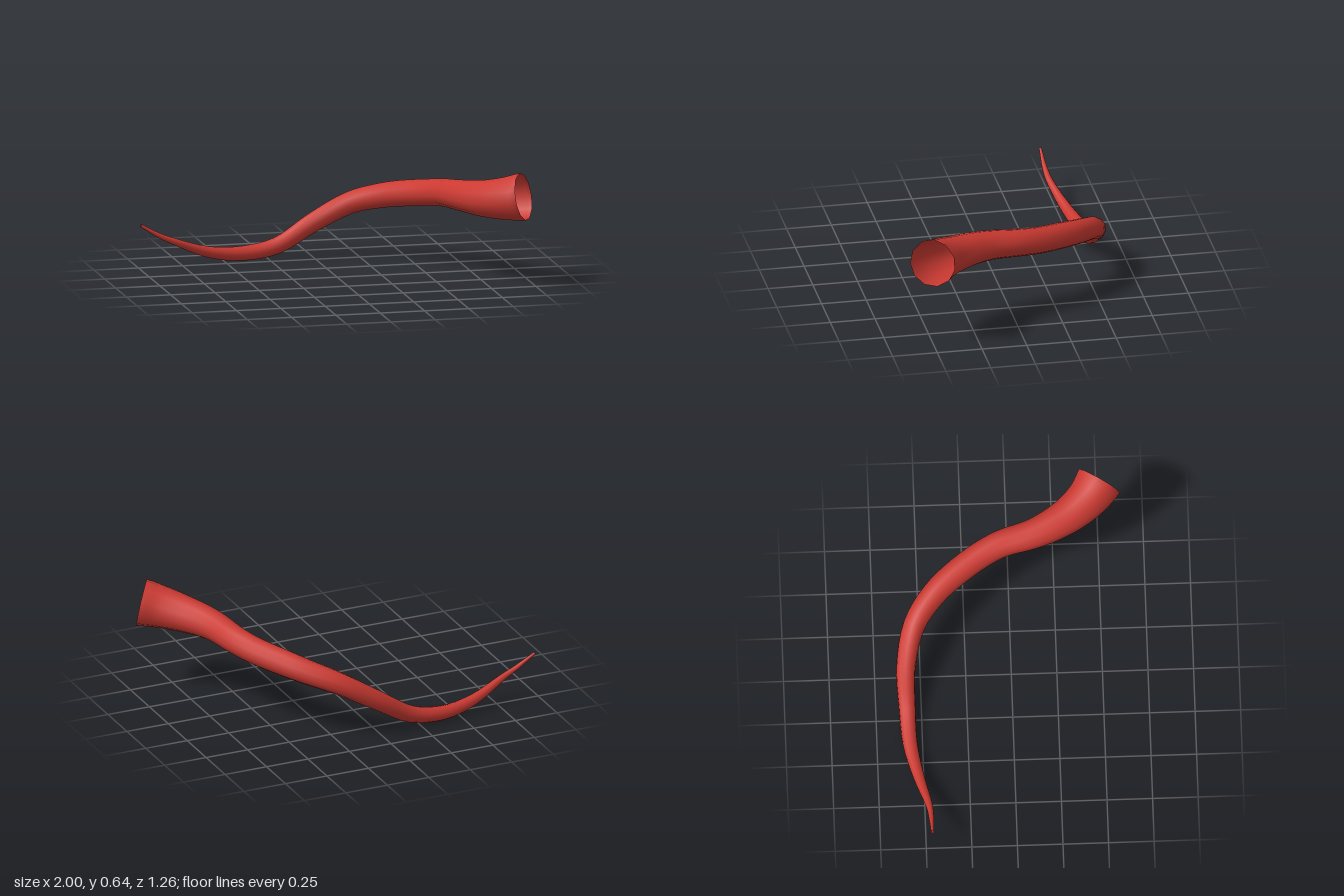
import * as THREE from 'three';

// Stations along the horn, tip to mouth: x, y, z, radius (last one only steers the rim)
const STATIONS = [
  [-0.995, 0.25, -0.466, 0.008],
  [-0.89, 0.188, -0.468, 0.014],
  [-0.8, 0.147, -0.477, 0.019],
  [-0.6, 0.07, -0.528, 0.031],
  [-0.4, 0.045, -0.568, 0.041],
  [-0.2, 0.077, -0.578, 0.047],
  [0, 0.195, -0.578, 0.054],
  [0.2, 0.308, -0.525, 0.062],
  [0.35, 0.363, -0.415, 0.069],
  [0.45, 0.394, -0.3, 0.073],
  [0.55, 0.423, -0.15, 0.075],
  [0.605, 0.445, -0.03, 0.077],
  [0.645, 0.463, 0.13, 0.083],
  [0.69, 0.472, 0.24, 0.092],
  [0.755, 0.48, 0.35, 0.103],
  [0.837, 0.495, 0.445, 0.117],
  [0.927, 0.514, 0.512, 0.132],
  [1.035, 0.54, 0.568, 0.132],
];
const SIDES = 11;
const STEPS = 4; // rings per station

export function createModel() {
  const group = new THREE.Group();
  group.name = 'curvedHorn';
  const red = new THREE.MeshStandardMaterial({ color: 0xcc3a32, side: THREE.DoubleSide });
  red.name = 'red';

  const path = new THREE.CatmullRomCurve3(STATIONS.map(([x, y, z]) => new THREE.Vector3(x, y, z)));
  const radii = new THREE.SplineCurve(STATIONS.map((s, i) => new THREE.Vector2(i, s[3])));
  const last = STATIONS.length - 1;
  const rings = (last - 1) * STEPS;

  // Loft rings across the path, each with one corner at the top
  const positions = [];
  const index = [];
  const worldUp = new THREE.Vector3(0, 1, 0);
  for (let i = 0; i <= rings; i++) {
    const u = i / STEPS / last;
    const centre = path.getPoint(u);
    const tangent = path.getTangent(u);
    const radius = radii.getPoint(u).y;
    const side = tangent.clone().cross(worldUp).normalize();
    const up = side.clone().cross(tangent);
    for (let j = 0; j < SIDES; j++) {
      const a = (j / SIDES) * Math.PI * 2;
      const p = centre.clone()
        .addScaledVector(up, Math.cos(a) * radius)
        .addScaledVector(side, Math.sin(a) * radius);
      positions.push(p.x, p.y, p.z);
      if (i < rings) {
        const k = (j + 1) % SIDES;
        const r0 = i * SIDES, r1 = r0 + SIDES;
        index.push(r0 + j, r0 + k, r1 + j, r0 + k, r1 + k, r1 + j);
      }
    }
  }
  const geometry = new THREE.BufferGeometry();
  geometry.setAttribute('position', new THREE.Float32BufferAttribute(positions, 3));
  geometry.setIndex(index);
  geometry.computeVertexNormals();

  // Open, hollow tube flaring towards the mouth
  const horn = new THREE.Mesh(geometry, red);
  horn.name = 'hornTube';
  group.add(horn);
  return group;
}
